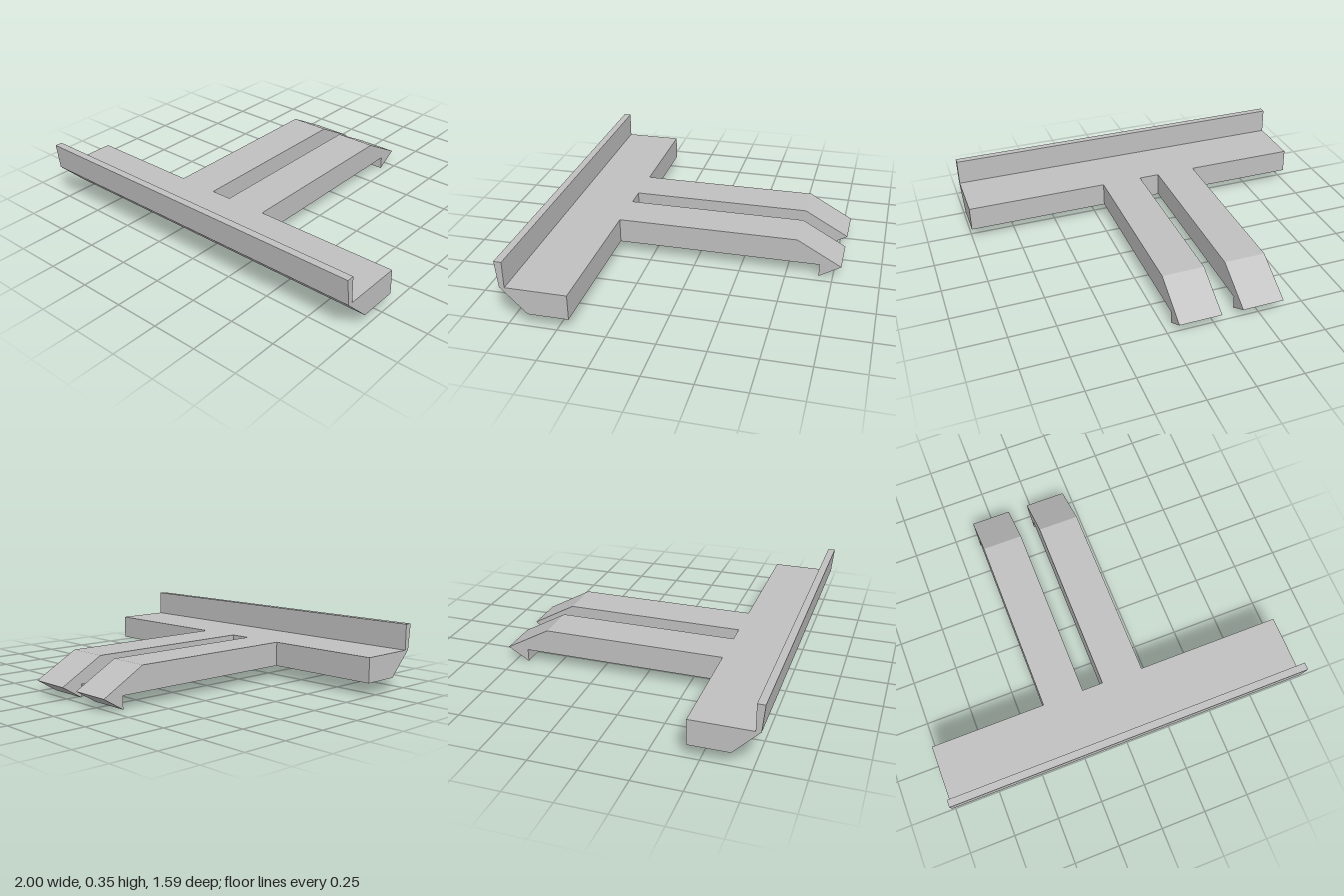
import * as THREE from 'three';

// Extrudes a side profile of [z, y] points along x, from x0 to x1.
function extrudeProfile(name, points, x0, x1, material) {
  const shape = new THREE.Shape(points.map(([z, y]) => new THREE.Vector2(-z, y)));
  const geometry = new THREE.ExtrudeGeometry(shape, { depth: x1 - x0, bevelEnabled: false });
  geometry.rotateY(Math.PI / 2);
  geometry.translate(x0, 0, 0);
  const mesh = new THREE.Mesh(geometry, material);
  mesh.name = name;
  return mesh;
}

export function createModel() {
  const group = new THREE.Group();
  group.name = 'forkedBracket';
  const grey = new THREE.MeshStandardMaterial({ color: 0xc0c0c0 });
  grey.name = 'plainGrey';

  const top = 0.205, bottom = 0.07, barBack = 0.434;

  // Wide cross bar with sloped underside and a thin upright lip along the front
  group.add(extrudeProfile('crossBar', [
    [barBack, bottom], [barBack, top], [0.753, top], [0.753, 0.346],
    [0.793, 0.346], [0.78, top], [0.645, bottom],
  ], -1, 1, grey));

  // Two prongs, each ending in a sloped nose with a downward hook
  const prongProfile = [
    [barBack, bottom], [barBack, top], [-0.552, top],
    [-0.793, bottom], [-0.676, 0], [-0.676, bottom],
  ];
  group.add(extrudeProfile('rightProng', prongProfile, -0.369, -0.143, grey));
  group.add(extrudeProfile('leftProng', prongProfile, -0.027, 0.203, grey));

  return group;
}
